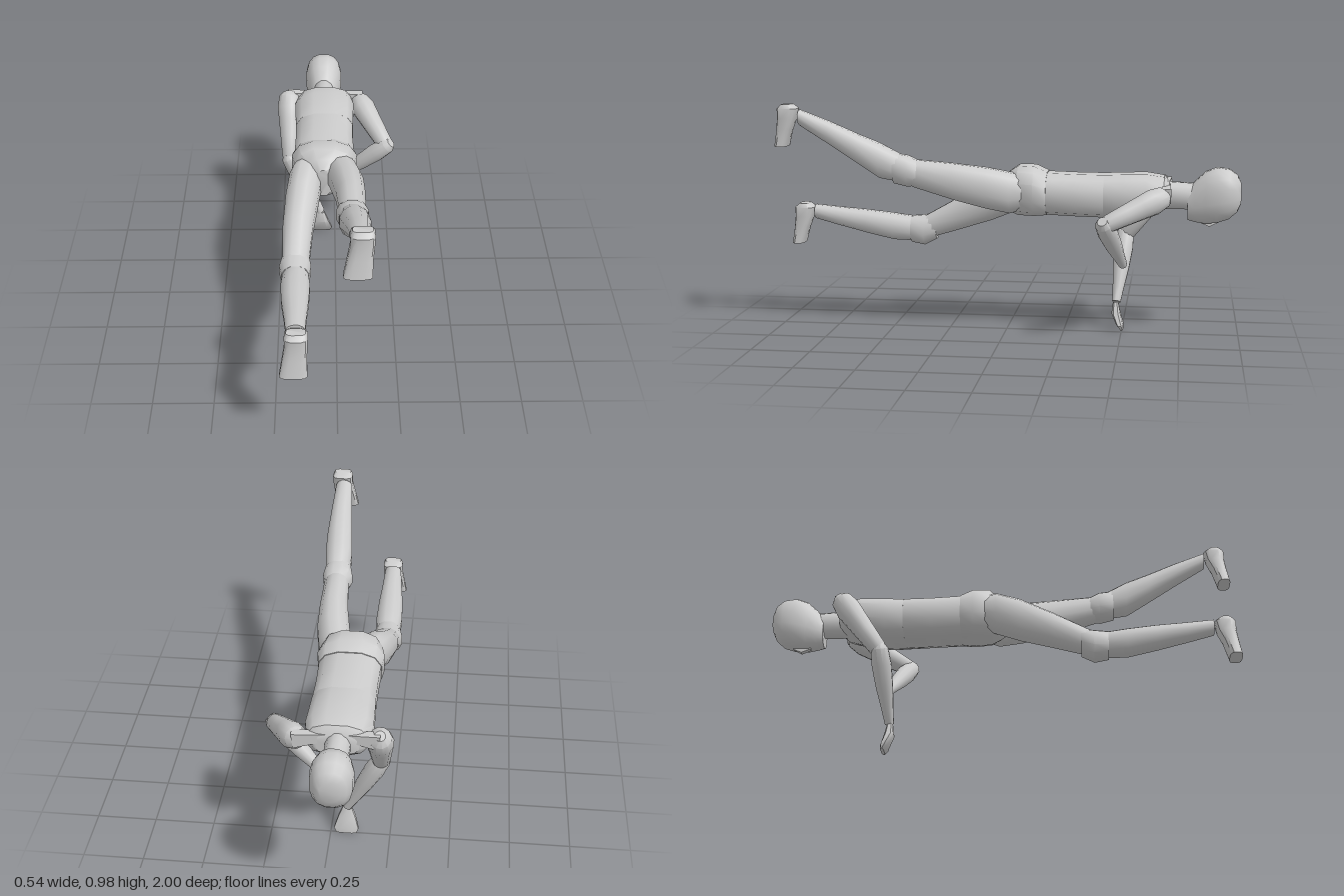
import * as THREE from 'three';
import { toCreasedNormals } from 'three/addons/utils/BufferGeometryUtils.js';

const material = new THREE.MeshStandardMaterial({ color: 0xcccccc });

// Closed skin over rings [x, y, z, halfWidth, halfDepth]; power < 1 makes sections boxier
function loft(name, rings, { axis, ref = [1, 0, 0], sides = 12, power = 1, crease = 0.7 } = {}) {
  const centres = rings.map(r => new THREE.Vector3(r[0], r[1], r[2]));
  const dir = axis ? new THREE.Vector3(...axis)
    : centres[centres.length - 1].clone().sub(centres[0]).normalize();
  const u = new THREE.Vector3(...ref).projectOnPlane(dir).normalize();
  const v = dir.clone().cross(u);
  const bend = t => Math.sign(t) * Math.pow(Math.abs(t), power);
  const points = [], index = [];
  rings.forEach((r, i) => {
    for (let j = 0; j < sides; j++) {
      const a = ((j + 0.5) / sides) * Math.PI * 2;
      const p = centres[i].clone()
        .addScaledVector(u, bend(Math.cos(a)) * r[3])
        .addScaledVector(v, bend(Math.sin(a)) * r[4]);
      points.push(p.x, p.y, p.z);
    }
  });
  const last = rings.length - 1;
  for (let j = 0; j < sides; j++) {
    const k = (j + 1) % sides;
    for (let i = 0; i < last; i++) {
      const a = i * sides + j, b = i * sides + k;
      index.push(a, b, b + sides, a, b + sides, a + sides);
    }
    if (j > 0 && j < sides - 1) {
      index.push(0, k, j);
      index.push(last * sides, last * sides + j, last * sides + k);
    }
  }
  const geometry = new THREE.BufferGeometry();
  geometry.setAttribute('position', new THREE.Float32BufferAttribute(points, 3));
  geometry.setIndex(index);
  const mesh = new THREE.Mesh(toCreasedNormals(geometry, crease), material);
  mesh.name = name;
  return mesh;
}

const along = { axis: [0, 0, 1] };

function buildBody(group) {
  // Skull, rounded at the crown and narrowing to the jaw
  group.add(loft('head', [
    [-0.05, 0.61, -1.0, 0.04, 0.045],
    [-0.05, 0.61, -0.985, 0.064, 0.08],
    [-0.05, 0.607, -0.95, 0.082, 0.108],
    [-0.05, 0.602, -0.9, 0.086, 0.12],
    [-0.05, 0.59, -0.85, 0.077, 0.113],
    [-0.05, 0.572, -0.805, 0.062, 0.088],
    [-0.05, 0.56, -0.775, 0.052, 0.068],
  ], { ...along, power: 0.85, sides: 16 }));
  group.add(loft('nose', [
    [-0.06, 0.485, -0.905, 0.008, 0.006],
    [-0.06, 0.478, -0.87, 0.015, 0.02],
    [-0.06, 0.485, -0.83, 0.013, 0.008],
  ], { ...along, sides: 4, power: 0.8 }));
  group.add(loft('neck', [
    [-0.05, 0.595, -0.8, 0.05, 0.058],
    [-0.05, 0.598, -0.66, 0.052, 0.062],
  ], along));
  // Ribcage and abdomen
  group.add(loft('chest', [
    [-0.045, 0.605, -0.7, 0.09, 0.045],
    [-0.045, 0.61, -0.675, 0.122, 0.072],
    [-0.047, 0.605, -0.6, 0.138, 0.088],
    [-0.047, 0.595, -0.5, 0.135, 0.096],
    [-0.047, 0.593, -0.42, 0.133, 0.094],
  ], { ...along, power: 0.75 }));
  group.add(loft('abdomen', [
    [-0.047, 0.593, -0.44, 0.132, 0.094],
    [-0.048, 0.595, -0.3, 0.13, 0.093],
    [-0.048, 0.6, -0.15, 0.134, 0.092],
  ], { ...along, power: 0.75 }));
  // Hips tapering to the crotch
  group.add(loft('pelvis', [
    [-0.048, 0.6, -0.175, 0.137, 0.095],
    [-0.048, 0.61, -0.12, 0.145, 0.11],
    [-0.048, 0.612, -0.05, 0.13, 0.11],
    [-0.05, 0.605, -0.01, 0.085, 0.09],
    [-0.05, 0.595, 0.025, 0.03, 0.065],
  ], { ...along, power: 0.78 }));
}

// Leg sections are cut across z; the foot hangs down from the ankle
function buildLeg(group, side, thigh, knee, calf, foot) {
  const leg = new THREE.Group();
  leg.name = side + 'Leg';
  leg.add(loft(side + 'Thigh', thigh, { ...along, power: 0.9 }));
  leg.add(loft(side + 'Knee', knee, { ...along, power: 0.9 }));
  leg.add(loft(side + 'Calf', calf, { ...along, power: 0.9 }));
  const [x, y, slide] = foot;
  leg.add(loft(side + 'Foot', [
    [x, y, 0.94, 0.038, 0.022],
    [x, y - 0.018, 0.937, 0.046, 0.045],
    [x - 0.05 * slide, y - 0.06, 0.942, 0.045, 0.04],
    [x - 0.5 * slide, y - 0.11, 0.956, 0.048, 0.032],
    [x - slide, y - 0.182, 0.972, 0.055, 0.027],
  ], { axis: [0, -1, 0], power: 0.6 }));
  group.add(leg);
}

// Upper arm and forearm run straight between joints
function buildArm(group, side, shoulder, elbow, wrist) {
  const arm = new THREE.Group();
  arm.name = side + 'Arm';
  const run = (a, b, steps) => steps.map(([t, r, s = r]) =>
    [...a.map((c, i) => c + (b[i] - c) * t), r, s]);
  const ref = [0, 0, 1];
  arm.add(loft(side + 'UpperArm', run(shoulder, elbow, [
    [-0.2, 0.022], [-0.12, 0.045], [0.08, 0.055], [0.3, 0.05], [0.6, 0.044], [0.95, 0.037], [1.08, 0.022],
  ]), { ref }));
  arm.add(loft(side + 'Forearm', run(elbow, wrist, [
    [-0.1, 0.022], [-0.03, 0.037], [0.2, 0.042], [0.5, 0.036], [0.8, 0.025], [1, 0.019],
  ]), { ref }));
  // Flat collar wedge reaching from the neck to the shoulder
  const s = Math.sign(shoulder[0]);
  arm.add(loft(side + 'Collar', [
    [-0.05 + s * 0.035, 0.635, -0.685, 0.016, 0.02],
    [shoulder[0], shoulder[1] + 0.015, -0.685, 0.028, 0.042],
  ], { ref, sides: 4, power: 0.8 }));
  group.add(arm);
  return arm;
}

export function createModel() {
  const model = new THREE.Group();
  model.name = 'proneFigure';
  buildBody(model);

  // Raised left leg
  buildLeg(model, 'left',
    [
      [0.015, 0.61, -0.1, 0.06, 0.07],
      [0.03, 0.607, -0.02, 0.072, 0.09],
      [0.047, 0.628, 0.08, 0.072, 0.09],
      [0.06, 0.655, 0.22, 0.063, 0.08],
      [0.065, 0.69, 0.4, 0.055, 0.06],
    ],
    [
      [0.065, 0.69, 0.375, 0.055, 0.055],
      [0.063, 0.698, 0.42, 0.068, 0.068],
      [0.066, 0.71, 0.48, 0.058, 0.066],
    ],
    [
      [0.066, 0.71, 0.45, 0.054, 0.06],
      [0.07, 0.742, 0.54, 0.062, 0.076],
      [0.075, 0.795, 0.64, 0.058, 0.063],
      [0.078, 0.86, 0.76, 0.048, 0.05],
      [0.08, 0.925, 0.89, 0.038, 0.034],
    ],
    [0.09, 0.982, 0.018]);

  // Lowered right leg
  buildLeg(model, 'right',
    [
      [-0.11, 0.61, -0.1, 0.06, 0.07],
      [-0.127, 0.592, -0.02, 0.072, 0.09],
      [-0.142, 0.552, 0.08, 0.072, 0.092],
      [-0.16, 0.49, 0.22, 0.065, 0.076],
      [-0.168, 0.42, 0.38, 0.056, 0.055],
    ],
    [
      [-0.168, 0.425, 0.335, 0.056, 0.06],
      [-0.17, 0.405, 0.39, 0.068, 0.068],
      [-0.168, 0.408, 0.45, 0.058, 0.06],
    ],
    [
      [-0.168, 0.41, 0.43, 0.053, 0.055],
      [-0.167, 0.418, 0.53, 0.061, 0.06],
      [-0.166, 0.438, 0.65, 0.057, 0.053],
      [-0.163, 0.46, 0.78, 0.046, 0.042],
      [-0.16, 0.48, 0.89, 0.039, 0.032],
    ],
    [-0.157, 0.518, 0.012]);

  // Left arm folded under the chest, ending at the wrist
  buildArm(model, 'left', [0.128, 0.6, -0.65], [0.235, 0.505, -0.435], [0.015, 0.3, -0.505]);

  // Right arm propping the body, with a flat hand on the ground
  const rightArm = buildArm(model, 'right', [-0.212, 0.61, -0.66], [-0.208, 0.395, -0.505], [-0.067, 0.12, -0.475]);
  rightArm.add(loft('rightHand', [
    [-0.067, 0.12, -0.472, 0.018, 0.012],
    [-0.066, 0.07, -0.474, 0.037, 0.02],
    [-0.065, 0.02, -0.492, 0.054, 0.015],
    [-0.066, 0, -0.5, 0.044, 0.007],
  ], { axis: [0, -1, 0], sides: 8, power: 0.7 }));

  return model;
}
